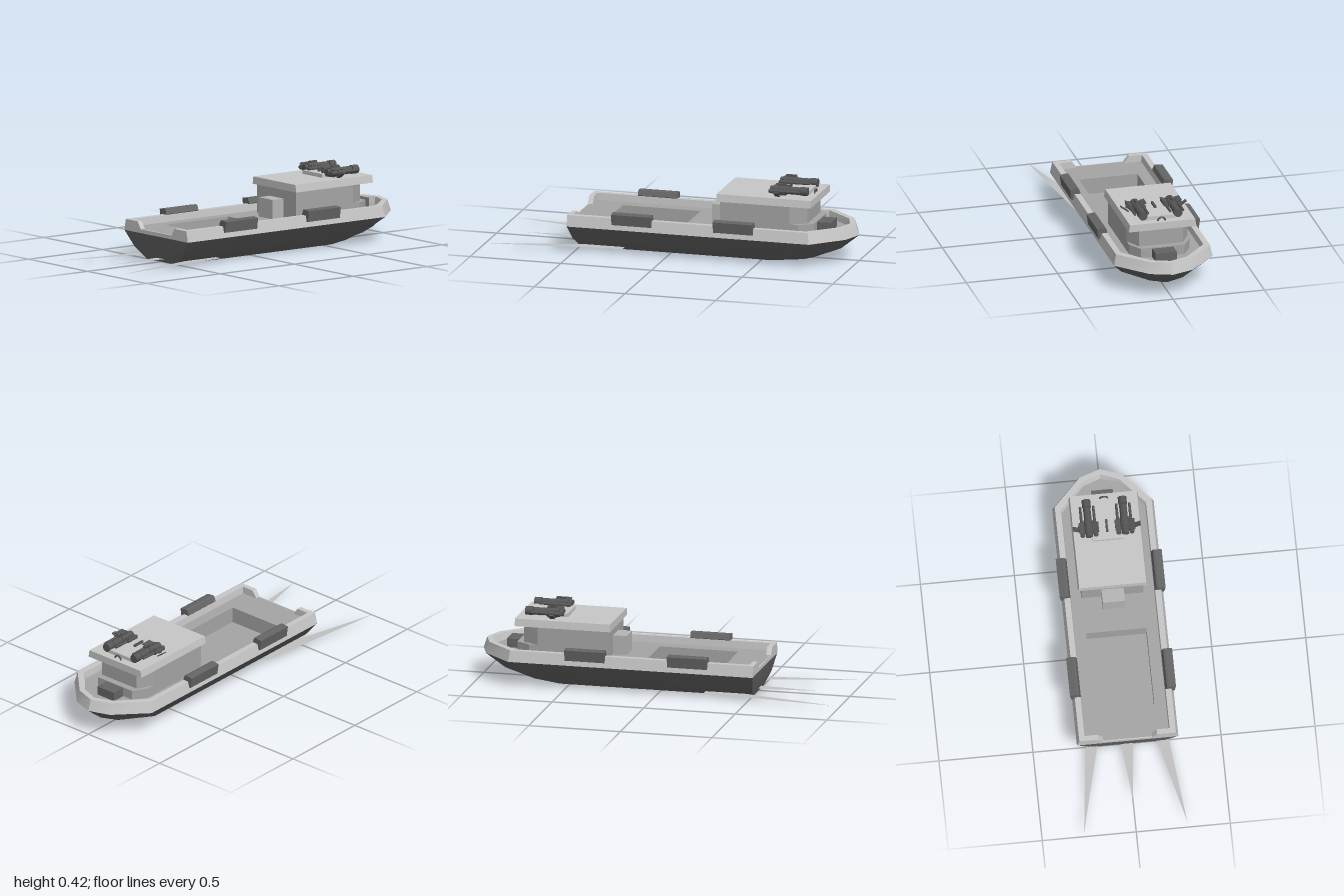
import * as THREE from 'three';
import { toCreasedNormals } from 'three/addons/utils/BufferGeometryUtils.js';

const paint = (name, color, side = THREE.FrontSide) => {
  const m = new THREE.MeshStandardMaterial({ color, side });
  m.name = name;
  return m;
};

// Half outline mirrored to a boat-shaped path: stern right -> bow -> stern left
function outline(w, stern, shoulder, bow) {
  const half = [[w, stern], [w, shoulder], [w * 0.43, shoulder + (bow - shoulder) * 0.8]];
  return [...half, [0, bow], ...half.map(([x, z]) => [-x, z]).reverse()];
}

// Skin stacked outlines, each given as [y, halfWidth, stern, shoulder, bow]
function loft(levels, closed, crease) {
  const pos = [], idx = [], n = 7;
  for (const [y, ...o] of levels) for (const [x, z] of outline(...o)) pos.push(x, y, z);
  for (let j = 0; j < levels.length - 1; j++) {
    for (let i = 0; i < (closed ? n : n - 1); i++) {
      const k = (i + 1) % n;
      const a = j * n + i, b = j * n + k, c = b + n, d = a + n;
      idx.push(a, b, c, a, c, d);
    }
  }
  const g = new THREE.BufferGeometry();
  g.setAttribute('position', new THREE.Float32BufferAttribute(pos, 3));
  g.setIndex(idx);
  return toCreasedNormals(g, crease);
}

// Plan shape from [x, z] points
const plan = (pts) => new THREE.Shape(pts.map(([x, z]) => new THREE.Vector2(x, -z)));
const rect = (x, z0, z1) => [[x, z1], [x, z0], [-x, z0], [-x, z1]];
const prism = (shape, y0, y1) =>
  new THREE.ExtrudeGeometry(shape, { depth: y1 - y0, bevelEnabled: false })
    .rotateX(-Math.PI / 2).translate(0, y0, 0);

export function createModel() {
  const light = paint('light grey', 0xc6c6c6);
  const mid = paint('deck grey', 0xa4a4a4);
  const pale = paint('locker grey', 0xb4b4b4);
  const dark = paint('hull grey', 0x646464);
  const gunGrey = paint('gun grey', 0x555555);
  const foam = paint('wake grey', 0xc0c0c0, THREE.DoubleSide);

  const boat = new THREE.Group();
  boat.name = 'patrolBoat';
  const add = (name, geo, mat, parent = boat) => {
    const m = new THREE.Mesh(geo, mat);
    m.name = name;
    parent.add(m);
    return m;
  };
  const box = (name, mat, x, y, z, w, h, d, parent) =>
    add(name, new THREE.BoxGeometry(w, h, d).translate(x, y, z), mat, parent);

  // Hull and bulwark
  add('hull', loft([
    [0, 0.001, 0.5, -0.55, -0.75],
    [0, 0.125, 0.5, -0.55, -0.75],
    [0.06, 0.205, 0.52, -0.7, -0.9],
    [0.14, 0.27, 0.535, -0.8, -1],
  ], true, 0.75), dark);
  add('bulwark', loft([
    [0.14, 0.27, 0.535, -0.8, -1],
    [0.2, 0.257, 0.535, -0.79, -0.98],
    [0.2, 0.226, 0.535, -0.77, -0.95],
    [0.16, 0.222, 0.535, -0.765, -0.94],
  ], false, 0.6), light);

  // Stern board with a gap in the middle
  const board = [[0.27, 0.14], [0.257, 0.2], [0.157, 0.2], [0.13, 0.161]];
  const sternShape = new THREE.Shape(
    [...board, ...board.map(([x, y]) => [-x, y]).reverse()].map((p) => new THREE.Vector2(...p)));
  add('sternBoard', new THREE.ExtrudeGeometry(sternShape, { depth: 0.028, bevelEnabled: false })
    .translate(0, 0, 0.508), light);

  // Deck with a sunken cargo well
  const well = rect(0.16, -0.08, 0.35);
  const deck = plan(outline(0.23, 0.53, -0.77, -0.95));
  deck.holes.push(plan(well));
  add('deck', new THREE.ShapeGeometry(deck).rotateX(-Math.PI / 2).translate(0, 0.162, 0), mid);
  const frame = plan(rect(0.165, -0.085, 0.355));
  frame.holes.push(plan(well));
  add('wellWalls', prism(frame, 0.07, 0.161), mid);
  box('wellFloor', mid, 0, 0.07, 0.135, 0.325, 0.008, 0.435);

  // Cabin with chamfered forward corners, a lower ledge and an overhanging roof
  const cabin = (chamfer, front) => plan([[0.166, -0.28], [0.166, chamfer], [0.12, front],
    [-0.12, front], [-0.166, chamfer], [-0.166, -0.28]]);
  add('cabin', prism(cabin(-0.665, -0.75), 0.16, 0.318), mid);
  add('cabinLedge', prism(cabin(-0.71, -0.785), 0.16, 0.215), mid);
  const roof = new THREE.BoxGeometry(0.37, 0.04, 0.52).translate(0, 0.335, -0.525);
  const rp = roof.attributes.position;
  for (let i = 0; i < rp.count; i++) if (rp.getY(i) > 0.335) rp.setX(i, rp.getX(i) * 0.965);
  roof.computeVertexNormals();
  add('cabinRoof', roof, light);
  box('aftLocker', pale, 0, 0.213, -0.242, 0.118, 0.105, 0.075);
  box('bowHatch', dark, 0, 0.185, -0.822, 0.116, 0.05, 0.075);

  // Fenders, two on each side
  const pad = [[0.224, 0.203], [0.234, 0.229], [0.245, 0.232], [0.282, 0.226], [0.274, 0.168], [0.255, 0.168]];
  for (const s of [1, -1]) {
    for (const z of [0.07, -0.49]) {
      const shape = new THREE.Shape(pad.map(([x, y]) => new THREE.Vector2(x * s, y)));
      add('fender', new THREE.ExtrudeGeometry(shape, { depth: 0.217, bevelEnabled: false })
        .translate(0, 0, z), dark);
    }
  }

  // Gun platform and sight
  const mount = plan([[0.083, -0.52], [0.083, -0.74], [-0.083, -0.74], [-0.083, -0.52]]);
  add('gunPlatform', prism(mount, 0.354, 0.375), light);
  box('sight', gunGrey, 0, 0.38, -0.595, 0.012, 0.012, 0.07);
  add('sightRing', new THREE.TorusGeometry(0.02, 0.005, 6, 10, Math.PI)
    .translate(0, 0.354, -0.76), gunGrey);

  // Twin gun clusters
  const tube = (name, r0, r1, x, y, z0, z1, parent) =>
    add(name, new THREE.CylinderGeometry(r1, r0, z1 - z0, 10).rotateX(Math.PI / 2)
      .translate(x, y, (z0 + z1) / 2), gunGrey, parent);
  for (const s of [1, -1]) {
    const gun = new THREE.Group();
    gun.name = s > 0 ? 'leftGun' : 'rightGun';
    gun.position.set(0.096 * s, 0.382, 0);
    boat.add(gun);
    tube('mainBarrel', 0.021, 0.02, 0, 0, -0.7, -0.54, gun);
    tube('muzzle', 0.024, 0.024, 0, 0, -0.745, -0.705, gun);
    tube('breech', 0.026, 0.026, 0, 0, -0.63, -0.56, gun);
    for (const p of [1, -1]) {
      tube('sideBarrel', 0.007, 0.009, 0.035 * p, 0, -0.71, -0.54, gun);
      tube('sidePod', 0.013, 0.013, 0.035 * p, 0, -0.62, -0.545, gun);
      const fin = box('fin', gunGrey, 0, 0, 0, 0.03, 0.005, 0.06, gun);
      fin.position.set(0.038 * p, 0.015, -0.585);
      fin.rotation.z = 0.3 * p;
    }
    box('topSight', gunGrey, 0, 0.026, -0.6, 0.014, 0.016, 0.05, gun);
    box('crossShaft', gunGrey, 0.01 * s, 0, -0.59, 0.09, 0.014, 0.02, gun);
    box('pedestal', gunGrey, 0, -0.018, -0.6, 0.03, 0.03, 0.05, gun);
    const shield = box('shieldStrut', gunGrey, 0, 0, 0, 0.052, 0.005, 0.025, gun);
    shield.position.set(0.062 * s, -0.012, -0.59);
    shield.rotation.z = 0.63 * s;
  }

  // Flat wake spikes trailing from the stern
  const wake = (name, pts) =>
    add(name, new THREE.ShapeGeometry(plan(pts)).rotateX(-Math.PI / 2).translate(0, 0.018, 0), foam);
  wake('middleWake', [[0.034, 0.48], [-0.034, 0.48], [0, 0.83]]);
  for (const s of [1, -1]) {
    wake('sideWake', [[0.193 * s, 0.25], [0.097 * s, 0.25], [0.276 * s, 0.985]]);
  }
  return boat;
}
